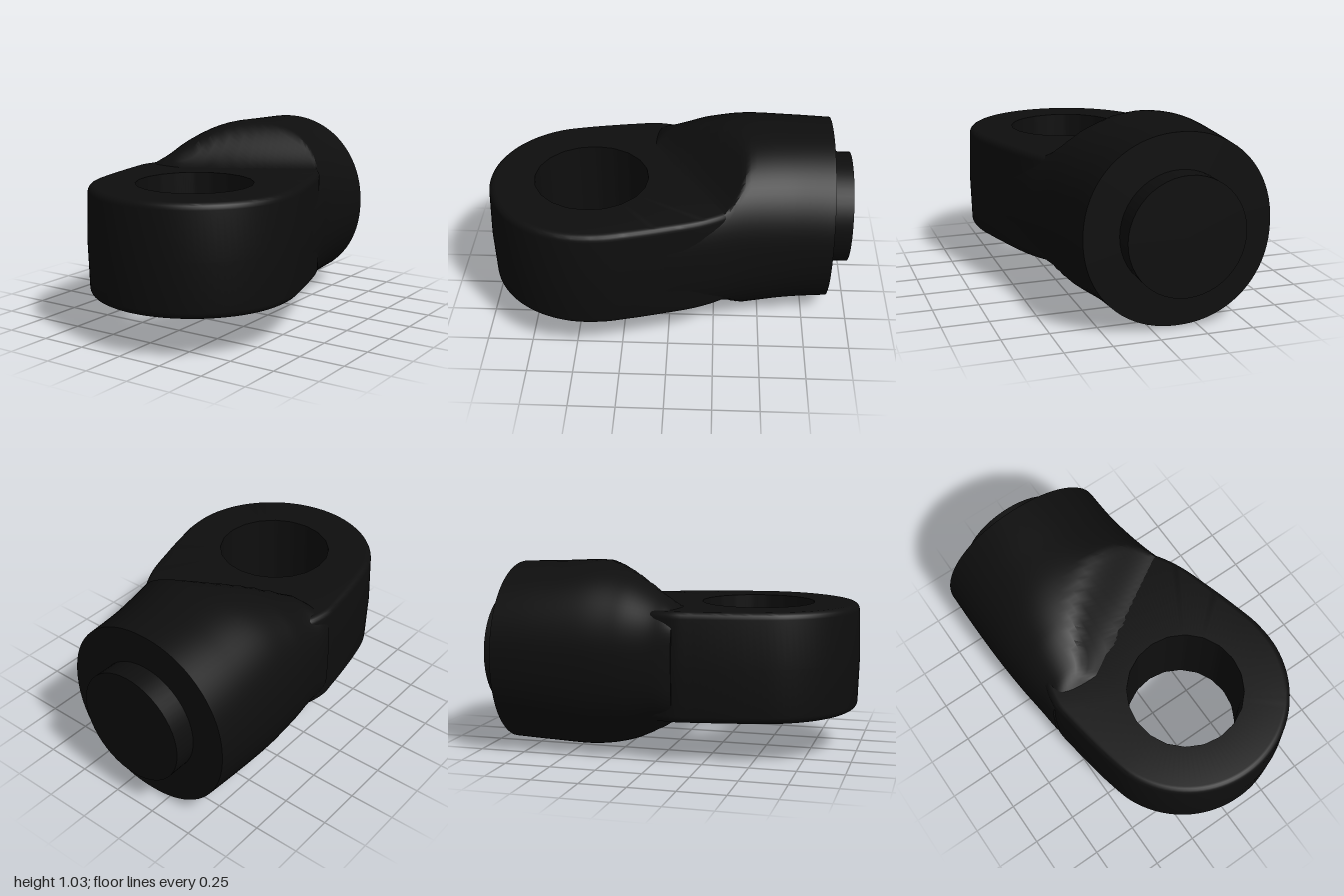
import * as THREE from 'three';
import { toCreasedNormals } from 'three/addons/utils/BufferGeometryUtils.js';

const MID_Y = 0.515;

// Skin a list of closed loops of [x, y, z] points
function skin(rows) {
  const n = rows[0].length, index = [];
  for (let r = 0; r < rows.length - 1; r++) {
    for (let c = 0; c < n; c++) {
      const a = r * n + c, b = r * n + (c + 1) % n;
      index.push(a, b, a + n, b, b + n, a + n);
    }
  }
  const g = new THREE.BufferGeometry();
  g.setAttribute('position', new THREE.Float32BufferAttribute(rows.flat(2), 3));
  g.setIndex(index);
  return toCreasedNormals(g, 0.6);
}

// Smooth interpolation through rows of section values
function sample(keys, u) {
  const i = Math.min(Math.floor(u), keys.length - 2), t = u - i;
  const at = k => keys[THREE.MathUtils.clamp(k, 0, keys.length - 1)];
  return keys[0].map((_, j) => {
    const a = at(i - 1)[j], b = at(i)[j], c = at(i + 1)[j], d = at(i + 2)[j];
    return b + 0.5 * t * (c - a + t * (2 * a - 5 * b + 4 * c - d + t * (3 * (b - c) + d - a)));
  });
}

// Round shank, blending along a diagonal shoulder into the flat eye
function shankGeometry() {
  // z, right edge, left edge, half height, squareness
  const keys = [
    [-0.88, -0.633, 0.365, 0.5, 2.1],
    [-0.65, -0.633, 0.375, 0.507, 2.2],
    [-0.4, -0.625, 0.415, 0.512, 2.35],
    [-0.2, -0.61, 0.475, 0.475, 2.6],
    [0, -0.585, 0.53, 0.38, 3.4],
    [0.1, -0.568, 0.555, 0.29, 6],
  ];
  const power = (v, p) => Math.sign(v) * Math.abs(v) ** p;
  const rows = [], steps = 40, sides = 80;
  for (let s = 0; s <= steps; s++) {
    const [z, x0, x1, h, n] = sample(keys, s / steps * (keys.length - 1));
    const row = [];
    for (let k = 0; k < sides; k++) {
      const a = k / sides * Math.PI * 2;
      const x = (x0 + x1) / 2 + (x1 - x0) / 2 * power(Math.cos(a), 2 / n);
      const cap = 0.28 + 0.24 * (1 - THREE.MathUtils.smoothstep(z + 0.59 * x, -0.45, -0.02));
      const y = THREE.MathUtils.clamp(h * power(Math.sin(a), 2 / n), -cap, cap);
      row.push([x, MID_Y + y, z]);
    }
    rows.push(row);
  }
  // Closed ends
  const cap = (x, z) => Array.from({ length: sides }, () => [x, MID_Y, z]);
  return skin([cap(-0.134, -0.88), ...rows, cap(-0.006, 0.1)]);
}

// Flat eye with rounded outer edges and a sharp faceted bore
function eyeGeometry() {
  const cx = 0.062, cz = 0.433, R = 0.565, bore = 0.312, facets = 20;
  const pts = [];
  for (let i = 0; i <= 10; i++) {
    const a = -0.15 + i / 10 * (Math.PI + 0.02);
    pts.push([cx + R * Math.cos(a), cz + R * Math.sin(a)]);
  }
  pts.push([-0.55, 0.2], [-0.56, 0.08], [-0.5, -0.1], [-0.3, -0.22], [0, -0.32],
    [0.26, -0.4], [0.37, -0.34], [0.46, -0.2], [0.53, 0], [0.585, 0.19]);
  const curve = new THREE.CatmullRomCurve3(
    pts.map(([x, z]) => new THREE.Vector3(x, 0, z)), true);
  const N = 120, outline = curve.getSpacedPoints(N).slice(0, N);
  const edge = (inset, y) => outline.map(p => {
    const dx = p.x - cx, dz = p.z - cz, k = 1 - inset / Math.hypot(dx, dz);
    return [cx + dx * k, MID_Y + y, cz + dz * k];
  });
  const hole = y => outline.map(p => {
    const a = Math.atan2(p.z - cz, p.x - cx), step = Math.PI * 2 / facets;
    const off = a - (Math.floor(a / step) + 0.5) * step;
    const r = bore * Math.cos(step / 2) / Math.cos(off);
    return [cx + r * Math.cos(a), MID_Y + y, cz + r * Math.sin(a)];
  });
  const H = 0.29, rows = [hole(-H), hole(H)], round = [];
  for (let i = 0; i <= 5; i++) {
    const a = i / 5 * Math.PI / 2;
    round.push([0.008 + 0.036 * (1 - Math.sin(a)), H - 0.036 * (1 - Math.cos(a))]);
  }
  round.forEach(([d, y]) => rows.push(edge(d, y)));
  rows.push(edge(0, 0));
  round.reverse().forEach(([d, y]) => rows.push(edge(d, -y)));
  rows.push(hole(-H));
  return skin(rows);
}

export function createModel() {
  const group = new THREE.Group();
  group.name = 'eyeLinkEnd';
  const black = new THREE.MeshStandardMaterial({ color: 0x0e0e0e });
  black.name = 'black';
  const add = (name, geometry) => {
    const mesh = new THREE.Mesh(geometry, black);
    mesh.name = name;
    group.add(mesh);
    return mesh;
  };
  add('shank', shankGeometry());
  add('eye', eyeGeometry());
  // Short round spigot on the back
  const spigot = add('spigot', new THREE.CylinderGeometry(0.312, 0.312, 0.16, 48));
  spigot.rotation.x = Math.PI / 2;
  spigot.position.set(-0.134, MID_Y, -0.92);
  return group;
}
